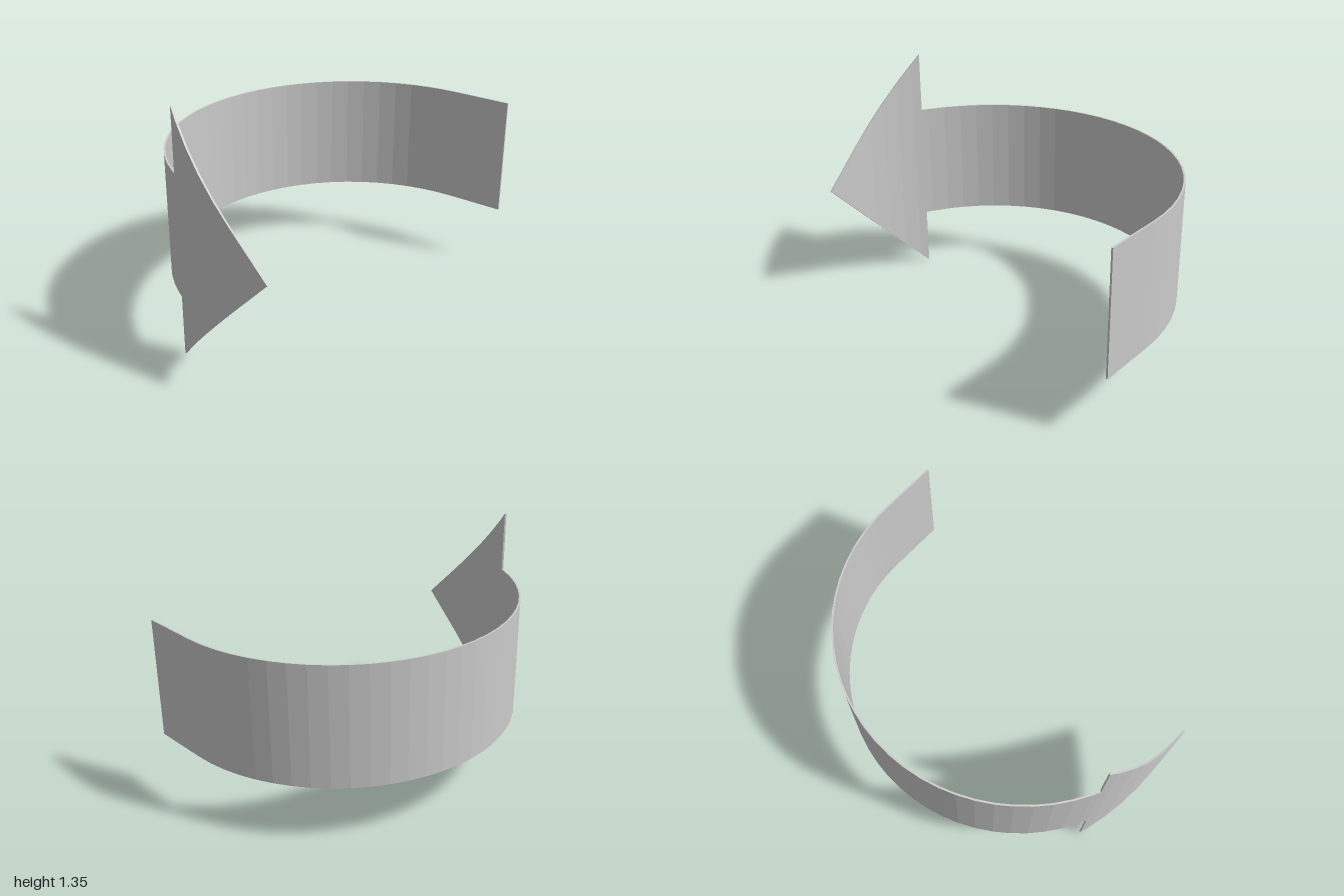
import * as THREE from 'three';

const R = 1, T = 0.01;            // outer radius and sheet thickness
const CZ = 0.333;                 // centre of the bend on z
const MID = 0.6725;               // height of the centre line
const TIP = 0.22;                 // straight length at the arrow tip
const NECK = 0.447;               // bend angle where head meets band
const SEG = 32;                   // facets over the half circle

// Point on the bent path; a < 0 and a > PI continue straight (by distance)
function pathPoint(a, r) {
  if (a < 0) return [-r, CZ - a];
  if (a > Math.PI) return [r, CZ + a - Math.PI];
  return [-r * Math.cos(a), CZ - r * Math.sin(a)];
}

// Closed thin sheet swept through stations [path position, half height]
function ribbon(name, stations) {
  const pos = [];
  const rings = stations.map(([a, h]) => {
    const [ox, oz] = pathPoint(a, R), [ix, iz] = pathPoint(a, R - T);
    return [[ox, MID - h, oz], [ox, MID + h, oz], [ix, MID + h, iz], [ix, MID - h, iz]];
  });
  const quad = (a, b, c, d) => pos.push(...a, ...b, ...c, ...a, ...c, ...d);
  for (let i = 0; i < rings.length - 1; i++) {
    const p = rings[i], q = rings[i + 1];
    for (let k = 0; k < 4; k++) {
      const n = (k + 1) % 4;
      quad(p[k], p[n], q[n], q[k]);
    }
  }
  // End caps
  const s = rings[0], e = rings[rings.length - 1];
  quad(s[3], s[2], s[1], s[0]);
  quad(e[0], e[1], e[2], e[3]);
  const geo = new THREE.BufferGeometry();
  geo.setAttribute('position', new THREE.Float32BufferAttribute(pos, 3));
  geo.computeVertexNormals();
  const mesh = new THREE.Mesh(geo, new THREE.MeshStandardMaterial({
    color: 0xcccccc, flatShading: true, side: THREE.DoubleSide }));
  mesh.name = name;
  return mesh;
}

export function createModel() {
  const group = new THREE.Group();
  group.name = 'curvedArrow';

  // Facet angles on either side of the neck
  const angles = Array.from({ length: SEG + 1 }, (_, i) => (i / SEG) * Math.PI);
  const headPath = [-TIP, ...angles.filter(a => a < NECK), NECK];
  const bandPath = [NECK, ...angles.filter(a => a > NECK), Math.PI + 0.333];

  // Triangular head, widening evenly from the tip to the neck
  const slope = MID / (TIP + NECK);
  group.add(ribbon('arrowHead', headPath.map(a => [a, (a + TIP) * slope])));

  // Band of constant height
  group.add(ribbon('arrowBand', bandPath.map(a => [a, 0.335])));
  return group;
}
